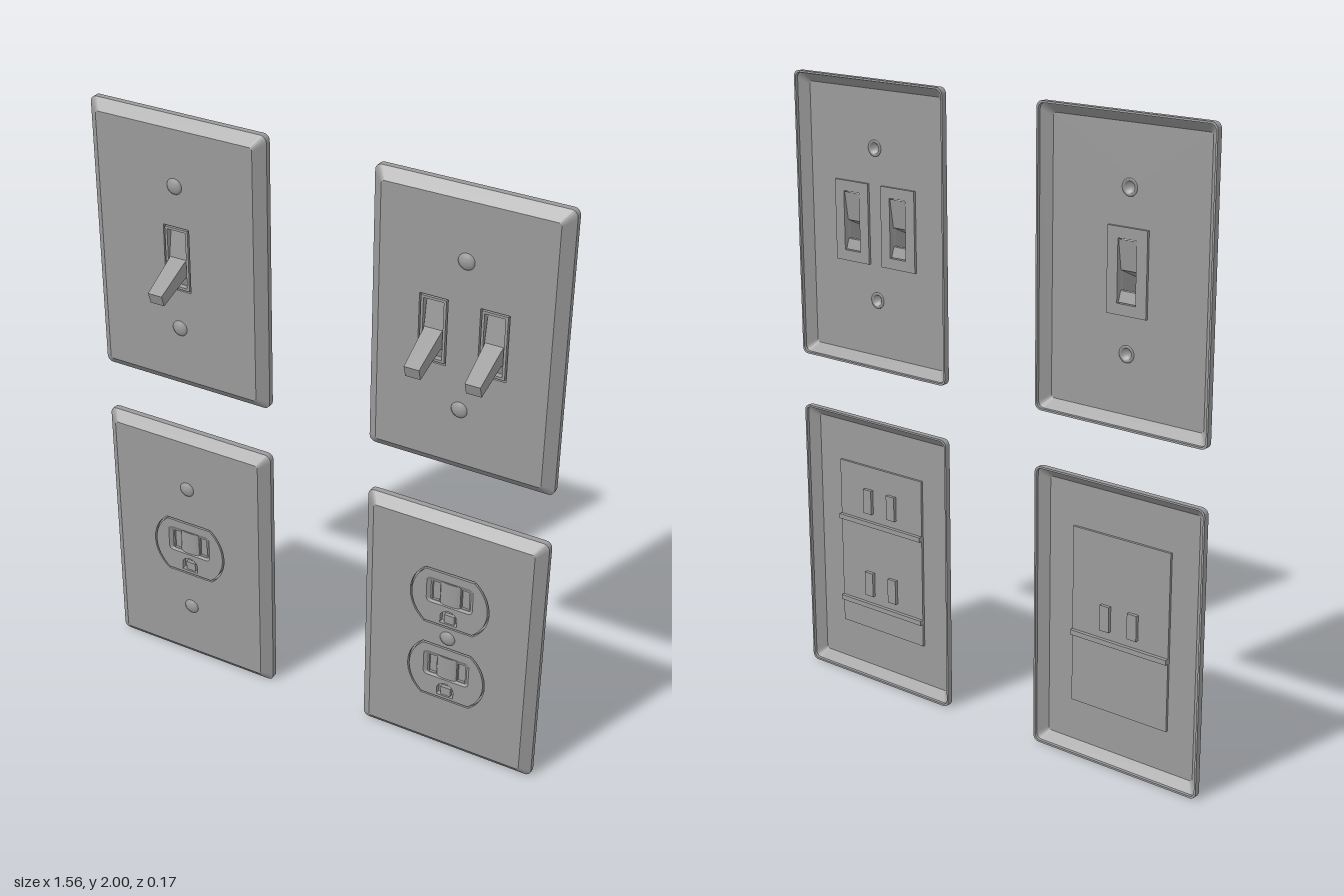
import * as THREE from 'three';

const mat = new THREE.MeshStandardMaterial({ color: 0x9b9b9b });
const thin = new THREE.MeshStandardMaterial({ color: 0x9b9b9b, side: THREE.DoubleSide });
const W = 0.605, H = 0.912, FRONT = -0.041, INNER = -0.053, BACK = -0.087;

function add(parent, name, geometry, material = mat) {
  const mesh = new THREE.Mesh(geometry, material);
  mesh.name = name;
  parent.add(mesh);
  return mesh;
}

// Rounded rectangle, counter-clockwise, with a fixed number of points
function roundRect(w, h, r, x = 0, y = 0) {
  const pts = [];
  [[1, 1], [-1, 1], [-1, -1], [1, -1]].forEach(([sx, sy], k) => {
    for (let i = 0; i <= 4; i++) {
      const a = (k + i / 4) * Math.PI / 2;
      pts.push(new THREE.Vector2(x + sx * (w / 2 - r) + r * Math.cos(a), y + sy * (h / 2 - r) + r * Math.sin(a)));
    }
  });
  return pts;
}

const rect = (w, h, x = 0, y = 0) => [[1, 1], [-1, 1], [-1, -1], [1, -1]]
  .map(([sx, sy]) => new THREE.Vector2(x + sx * w / 2, y + sy * h / 2));

const circle = (r, x, y) => new THREE.Path().absarc(x, y, r, 0, Math.PI * 2).getPoints(24).slice(0, -1);

// Circle cut off flat at the top and bottom
function outletOutline(r, half, y = 0) {
  const a = Math.asin(half / r), pts = [];
  for (const start of [-a, Math.PI - a])
    for (let i = 0; i <= 16; i++) {
      const t = start + 2 * a * i / 16;
      pts.push(new THREE.Vector2(r * Math.cos(t), y + r * Math.sin(t)));
    }
  return pts;
}

// Flat slab between two depths, with holes
function slab(outline, holes, z0, z1) {
  const shape = new THREE.Shape(outline);
  shape.holes = holes.map(p => new THREE.Path(p));
  return new THREE.ExtrudeGeometry(shape, { depth: z1 - z0, bevelEnabled: false }).translate(0, 0, z0);
}

// Flat-shaded surface from a list of corner quads
function quads(list) {
  const pos = [];
  for (const [a, b, c, d] of list) for (const p of [a, b, c, a, c, d]) pos.push(...p);
  const g = new THREE.BufferGeometry();
  g.setAttribute('position', new THREE.Float32BufferAttribute(pos, 3));
  g.computeVertexNormals();
  return g;
}

// Skin between successive outlines, each given as [points, z]
function loft(outlines) {
  const rings = outlines.map(([pts, z]) => pts.map(p => [p.x, p.y, z]));
  const list = [];
  for (let i = 0; i < rings.length - 1; i++)
    rings[i].forEach((p, j) => {
      const k = (j + 1) % rings[i].length;
      list.push([p, rings[i][k], rings[i + 1][k], rings[i + 1][j]]);
    });
  return quads(list);
}

// Hollow bevelled rim, closed cross-section carried around the plate
function rimGeometry() {
  const section = [[0, BACK], [0, -0.068], [0.033, FRONT], [0.035, FRONT],
    [0.035, INNER], [0.006, -0.077], [0.006, BACK], [0, BACK]];
  return loft(section.map(([d, z]) => [roundRect(W - 2 * d, H - 2 * d, 0.02 - d * 0.3), z]));
}

function plate(name, x, y, holes) {
  const g = new THREE.Group();
  g.name = name;
  g.position.set(x, y, 0);
  add(g, 'rim', rimGeometry());
  add(g, 'panel', slab(roundRect(W - 0.07, H - 0.07, 0.0095), holes, INNER, FRONT));
  return g;
}

// Hollow domed screw head
function screw(parent, y) {
  const pts = [[0, 0.008], [0.01, 0.007], [0.019, 0.004], [0.026, 0], [0.026, -0.013], [0.017, -0.013], [0.015, -0.001], [0, 0]]
    .map(p => new THREE.Vector2(...p));
  add(parent, 'screw', new THREE.LatheGeometry(pts, 24).rotateX(Math.PI / 2), thin).position.set(0, y, FRONT);
}

// Hollow lever on its rocker, open at the back
function leverGeometry() {
  // [y, z, half width] from the top of the rocker, over the lever, to the bottom
  const p = [[0.092, -0.06, 0.03], [0.0, -0.046, 0.03], [-0.003, -0.04, 0.028], [-0.063, 0.087, 0.024],
    [-0.1, 0.075, 0.024], [-0.058, -0.04, 0.028], [-0.06, -0.046, 0.03], [-0.092, -0.056, 0.03]];
  const at = (i, s) => [s * p[i][2], p[i][0], p[i][1]];
  const list = [];
  for (let i = 0; i < p.length - 1; i++) list.push([at(i, 1), at(i, -1), at(i + 1, -1), at(i + 1, 1)]);
  for (const s of [1, -1])
    list.push([at(2, s), at(3, s), at(4, s), at(5, s)], [at(1, s), at(2, s), at(5, s), at(6, s)]);
  return quads(list);
}

function toggle(parent, x) {
  const g = new THREE.Group();
  g.name = 'toggleSwitch';
  g.position.set(x, 0, 0);
  const opening = rect(0.064, 0.188);
  add(g, 'frame', slab(rect(0.08, 0.204), [opening], -0.06, FRONT + 0.0005));
  add(g, 'backing', slab(rect(0.137, 0.255), [opening], -0.061, INNER + 0.001));
  add(g, 'lever', leverGeometry(), thin);
  parent.add(g);
}

function outlet(parent, y) {
  const g = new THREE.Group();
  g.name = 'outlet';
  g.position.set(0, y, 0);
  const outline = outletOutline(0.129, 0.1);
  const slots = [-0.05, 0.05].map(x => rect(0.026, 0.07, x, 0.017));
  // Arched ground opening
  const ground = [new THREE.Vector2(-0.029, -0.09), new THREE.Vector2(0.029, -0.09)];
  for (let i = 0; i <= 10; i++) {
    const a = Math.PI * i / 10;
    ground.push(new THREE.Vector2(0.029 * Math.cos(a), -0.066 + 0.026 * Math.sin(a)));
  }
  // Face with a sloped recess around the slots
  const top = FRONT + 0.0005, floor = -0.05;
  const mouth = roundRect(0.158, 0.096, 0.014, 0, 0.024), base = roundRect(0.136, 0.076, 0.006, 0, 0.018);
  add(g, 'face', slab(outline, [mouth, ground], floor, top));
  add(g, 'recessSlope', loft([[base, floor], [mouth, top]]), thin);
  add(g, 'recessFloor', slab(outline, [...slots, ground], -0.06, floor));
  // Gentle bulge between the slots
  const bulge = new THREE.CylinderGeometry(0.034, 0.034, 0.084, 24, 1).scale(1, 1, 0.25);
  add(g, 'bulge', bulge).position.set(0, 0.022, floor);
  // Slot pockets and ground ledge behind the face
  for (const x of [-0.05, 0.05])
    add(g, 'slotPocket', new THREE.BoxGeometry(0.034, 0.082, 0.012)).position.set(x, 0.017, -0.066);
  add(g, 'groundStep', new THREE.BoxGeometry(0.034, 0.03, 0.012)).position.set(0, -0.075, -0.052);
  add(g, 'backLedge', new THREE.BoxGeometry(0.35, 0.016, 0.014)).position.set(0, -0.06, -0.066);
  parent.add(g);
}

function switchPlate(name, x, y, toggles) {
  const holes = toggles.map(t => rect(0.09, 0.214, t));
  const screws = [0.24, -0.24];
  const g = plate(name, x, y, [...holes, ...screws.map(s => circle(0.026, 0, s))]);
  toggles.forEach(t => toggle(g, t));
  screws.forEach(s => screw(g, s));
  return g;
}

function outletPlate(name, x, y, outlets, screws) {
  const g = plate(name, x, y, outlets.map(o => outletOutline(0.135, 0.106, o)));
  outlets.forEach(o => outlet(g, o));
  screws.forEach(s => screw(g, s));
  add(g, 'backing', slab(rect(0.35, 0.57), [], -0.061, -0.058));
  add(g, 'backingEdge', slab(rect(0.35, 0.57), [rect(0.33, 0.55)], -0.058, INNER + 0.001));
  return g;
}

export function createModel() {
  const model = new THREE.Group();
  model.name = 'wallPlates';
  const X = 0.4775, TOP = 2 - H / 2, LOW = H / 2;
  model.add(
    switchPlate('singleSwitchPlate', -X, TOP, [0]),
    switchPlate('doubleSwitchPlate', X, TOP, [-0.095, 0.095]),
    outletPlate('singleOutletPlate', -X, LOW, [0.004], [0.244, -0.236]),
    outletPlate('doubleOutletPlate', X, LOW, [0.15, -0.14], [0.004]),
  );
  return model;
}
